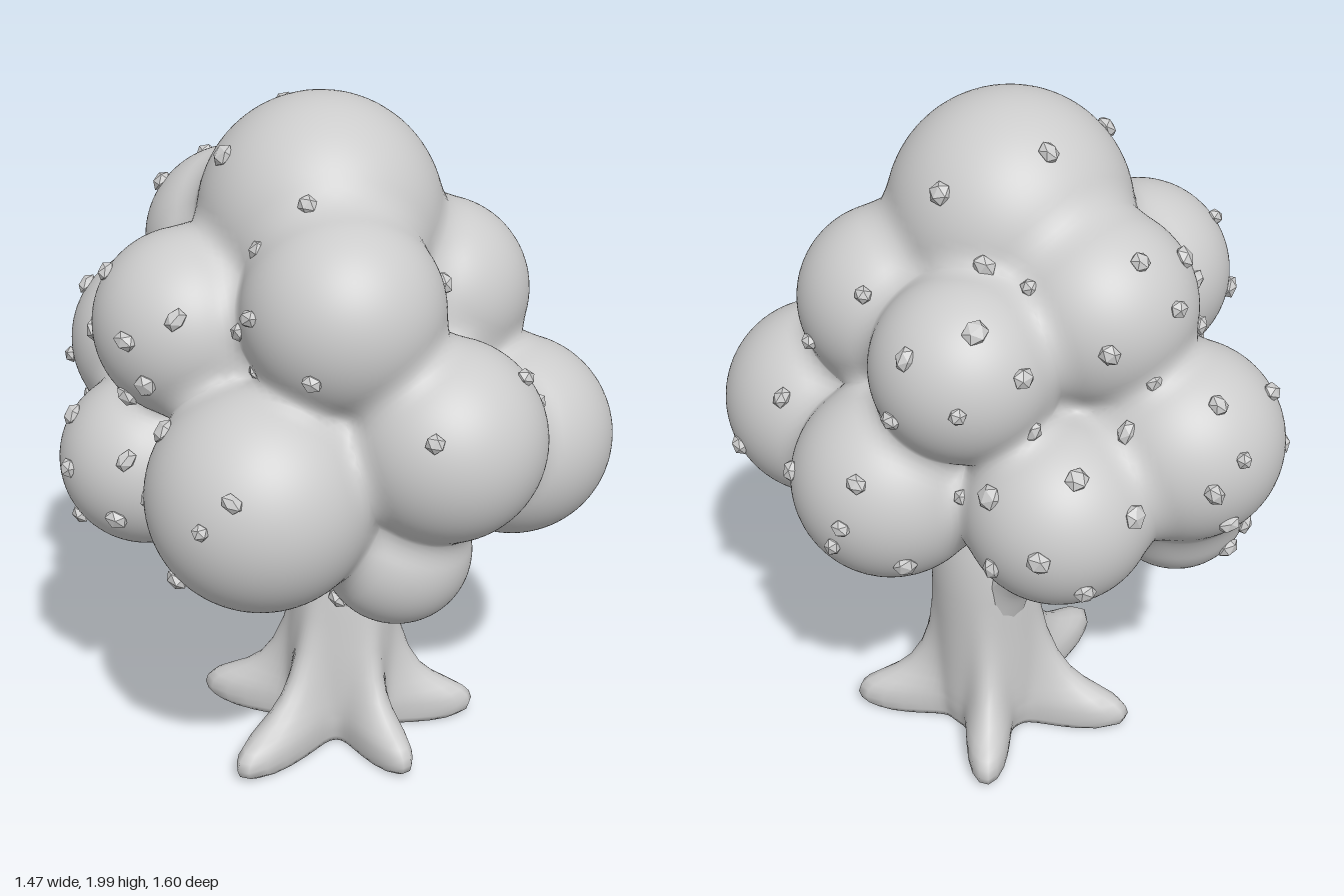
import * as THREE from 'three';

// foliage clumps: x, y, z, radius
const CLUMPS = [
  [0, 1.67, 0.03, 0.33], [0.01, 1.52, -0.3, 0.26], [-0.2, 1.53, 0.3, 0.265],
  [-0.06, 1.2, 0.53, 0.27], [-0.1, 0.845, 0.41, 0.205], [0.33, 1.05, 0.45, 0.28],
  [-0.42, 1.06, 0.22, 0.305], [0.455, 1.04, 0.03, 0.27],
  [0.26, 1.06, -0.4, 0.255], [-0.08, 1.17, -0.53, 0.27], [-0.14, 0.92, -0.47, 0.2],
  [0.26, 1.44, 0.22, 0.255], [0.36, 1.43, -0.16, 0.245], [-0.34, 1.42, -0.13, 0.255],
  [-0.36, 0.965, -0.3, 0.245], [0, 1.3, 0, 0.38],
].map(([x, y, z, r]) => ({ c: new THREE.Vector3(x, y, z), r }));

// smooth union of all clumps: negative inside
function field(p) {
  const k = 0.07;
  let d = 10;
  for (const { c, r } of CLUMPS) {
    const e = p.distanceTo(c) - r;
    const h = Math.max(k - Math.abs(d - e), 0) / k;
    d = Math.min(d, e) - h * h * k * 0.25;
  }
  return d;
}

function gradient(p) {
  const e = 0.004, q = new THREE.Vector3(), g = new THREE.Vector3();
  for (const a of ['x', 'y', 'z']) {
    q.copy(p);
    q[a] += e;
    g[a] = field(q);
    q[a] -= 2 * e;
    g[a] -= field(q);
  }
  return g.normalize();
}

// sphere whose seams swell out onto the blended surface
function clumpGeometry({ c, r }) {
  const geo = new THREE.IcosahedronGeometry(r, 14).translate(c.x, c.y, c.z);
  const pos = geo.attributes.position, nor = geo.attributes.normal;
  const p = new THREE.Vector3();
  for (let i = 0; i < pos.count; i++) {
    p.fromBufferAttribute(pos, i);
    const n = p.clone().sub(c).normalize();
    const d = field(p);
    if (d > -0.045) {
      p.addScaledVector(n, -d);
      pos.setXYZ(i, p.x, p.y, p.z);
      n.copy(gradient(p));
    }
    nor.setXYZ(i, n.x, n.y, n.z);
  }
  return geo;
}

// tube of varying radius with a rounded tip
function limbGeometry(points, radii, sides = 14, rings = 22) {
  const curve = new THREE.CatmullRomCurve3(points.map(a => new THREE.Vector3(...a)));
  const geo = new THREE.TubeGeometry(curve, rings, 1, sides);
  const pos = geo.attributes.position, p = new THREE.Vector3();
  for (let i = 0; i <= rings; i++) {
    const u = i / rings, centre = curve.getPointAt(u);
    const s = u * (radii.length - 1), k = Math.min(Math.floor(s), radii.length - 2);
    const tip = Math.max(0, (u - 0.86) / 0.14);
    const r = THREE.MathUtils.lerp(radii[k], radii[k + 1], s - k) * Math.sqrt(1 - tip * tip);
    for (let j = 0; j <= sides; j++) {
      const id = i * (sides + 1) + j;
      p.fromBufferAttribute(pos, id).sub(centre).multiplyScalar(r).add(centre);
      pos.setXYZ(id, p.x, p.y, p.z);
    }
  }
  geo.computeVertexNormals();
  return geo;
}

// root tips: x, z
const ROOTS = [[-0.01, 0.4], [0.39, 0.31], [0.39, -0.25], [-0.11, -0.36], [-0.37, 0.06]];

// trunk levels: y, centre x, core radius, root flare (1 = reaches the tip)
const LEVELS = [
  [0.01, 0.1, 0, 0], [0.012, 0.1, 0.145, 0.86], [0.03, 0.1, 0.15, 0.97], [0.055, 0.1, 0.155, 1],
  [0.08, 0.1, 0.16, 0.97], [0.1, 0.1, 0.16, 0.89], [0.12, 0.1, 0.162, 0.75], [0.15, 0.1, 0.163, 0.53],
  [0.19, 0.1, 0.163, 0.34], [0.25, 0.102, 0.162, 0.19], [0.33, 0.106, 0.16, 0.08], [0.43, 0.115, 0.155, 0.03],
  [0.53, 0.125, 0.152, 0], [0.62, 0.14, 0.142, 0], [0.7, 0.16, 0.12, 0], [0.85, 0.17, 0.1, 0], [1.1, 0.18, 0.08, 0],
];

// star-shaped cross-sections that flare into the roots
function trunkGeometry() {
  const sides = 90, cz = 0.02, verts = [], index = [];
  const lobes = ROOTS.map(([x, z]) => ({ a: Math.atan2(z - cz, x - 0.1), reach: Math.hypot(x - 0.1, z - cz) }));
  LEVELS.forEach(([y, cx, core, flare], i) => {
    for (let j = 0; j < sides; j++) {
      const a = (j / sides) * Math.PI * 2;
      let r = core;
      for (const l of lobes) {
        const da = Math.atan2(Math.sin(a - l.a), Math.cos(a - l.a));
        r += flare * (l.reach - core) * Math.exp(-((da / 0.27) ** 2));
      }
      verts.push(cx + r * Math.cos(a), y, cz + r * Math.sin(a));
      if (i === 0) continue;
      const k = (j + 1) % sides, lo = (i - 1) * sides, hi = i * sides;
      index.push(lo + j, hi + j, lo + k, hi + j, hi + k, lo + k);
    }
  });
  const geo = new THREE.BufferGeometry();
  geo.setAttribute('position', new THREE.Float32BufferAttribute(verts, 3));
  geo.setIndex(index);
  geo.computeVertexNormals();
  return geo;
}

export function createModel() {
  const model = new THREE.Group();
  model.name = 'tree';
  const mat = new THREE.MeshStandardMaterial({ color: 0xcccccc });
  const group = name => {
    const g = new THREE.Group();
    g.name = name;
    model.add(g);
    return g;
  };
  const add = (parent, geo, name) => {
    const m = new THREE.Mesh(geo, mat);
    m.name = name;
    parent.add(m);
    return m;
  };

  // canopy
  const canopy = group('canopy');
  CLUMPS.forEach(c => add(canopy, clumpGeometry(c), 'foliageClump'));

  // small buds, scattered on the exposed sides and back
  const buds = group('buds');
  let seed = 7;
  const rand = () => (seed = (seed * 16807) % 2147483647) / 2147483647;
  const budGeo = new THREE.IcosahedronGeometry(0.028, 0);
  const up = new THREE.Vector3(0, 1, 0);
  for (const { c, r } of CLUMPS) {
    for (let i = 0; i < 22; i++) {
      const y = 1 - (2 * i + 1) / 22, a = i * 2.4 + rand() * 0.8;
      const s = Math.sqrt(1 - y * y);
      const n = new THREE.Vector3(s * Math.cos(a), y, s * Math.sin(a));
      const p = c.clone().addScaledVector(n, r);
      if (n.z > 0.6 || y > 0.85 || y < -0.6 || field(p) < -0.015) continue;
      const bud = add(buds, budGeo, 'bud');
      bud.position.copy(p).addScaledVector(n, 0.004);
      bud.quaternion.setFromUnitVectors(up, n);
      bud.scale.set(0.8 + 0.5 * rand(), 0.8, 0.8 + 0.5 * rand());
    }
  }

  // trunk with its roots
  const wood = group('wood');
  add(wood, trunkGeometry(), 'trunkAndRoots');

  // branches reaching into the clumps
  const thick = [0.09, 0.07, 0.048, 0.04], thin = [0.07, 0.048, 0.032, 0.028];
  const branches = [
    [thick, [0.13, 0.44, 0.07], [0.14, 0.6, 0.14], [0.16, 0.72, 0.26], [0.22, 0.95, 0.4]],
    [thick, [0.13, 0.44, -0.03], [0.14, 0.6, -0.11], [0.17, 0.73, -0.24], [0.22, 0.95, -0.38]],
    [thin, [0.08, 0.4, 0.02], [0.01, 0.57, -0.01], [-0.11, 0.68, -0.09], [-0.32, 0.86, -0.22]],
    [thin, [0.07, 0.42, 0.06], [0.02, 0.6, 0.13], [-0.04, 0.7, 0.24], [-0.1, 0.84, 0.38]],
    [thick, [0.16, 0.5, 0.02], [0.2, 0.64, 0.02], [0.24, 0.78, 0.02], [0.38, 1.0, 0.03]],
  ];
  for (const [radii, ...path] of branches) add(wood, limbGeometry(path, radii), 'branch');

  return model;
}
